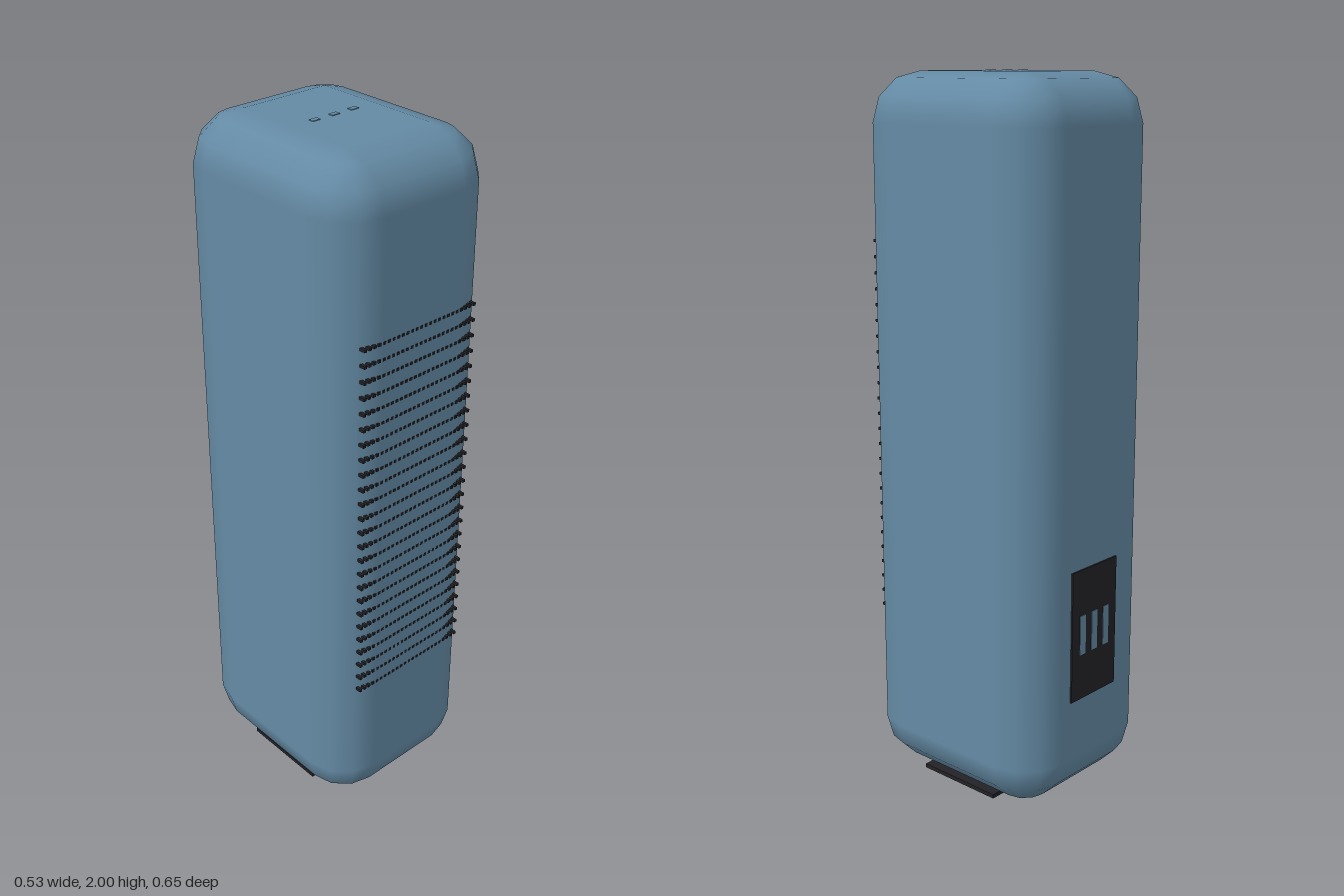
import * as THREE from 'three';
import { mergeGeometries } from 'three/addons/utils/BufferGeometryUtils.js';

const shell = new THREE.MeshStandardMaterial({ color: 0x648aa4 });
shell.name = 'slate blue shell';
const dark = new THREE.MeshStandardMaterial({ color: 0x232327 });
dark.name = 'charcoal plastic';

// Box with every edge rounded in 30 degree steps and smooth normals
function roundedBlock(w, h, d, r) {
  const steps = 3, ring = 4 * (steps + 1);
  const pos = [], nor = [], idx = [];
  const addRing = (lat, cy) => {
    for (let k = 0; k < 4; k++) {
      const sx = k === 0 || k === 3 ? 1 : -1;
      const sz = k < 2 ? 1 : -1;
      for (let j = 0; j <= steps; j++) {
        const a = (k + j / steps) * Math.PI / 2;
        const n = [Math.cos(lat) * Math.cos(a), Math.sin(lat), Math.cos(lat) * Math.sin(a)];
        pos.push(sx * (w / 2 - r) + r * n[0], cy + r * n[1], sz * (d / 2 - r) + r * n[2]);
        nor.push(...n);
      }
    }
  };
  for (let i = 0; i <= steps; i++) addRing((i / steps - 1) * Math.PI / 2, r - h / 2);
  for (let i = 0; i <= steps; i++) addRing((i / steps) * Math.PI / 2, h / 2 - r);
  const rings = 2 * (steps + 1);
  for (let i = 0; i < rings - 1; i++) {
    for (let j = 0; j < ring; j++) {
      const a = i * ring + j, b = i * ring + (j + 1) % ring;
      idx.push(a, a + ring, b, b, a + ring, b + ring);
    }
  }
  // flat bottom and top
  const c = steps + 1, t = (rings - 1) * ring;
  idx.push(0, c, 2 * c, 0, 2 * c, 3 * c);
  idx.push(t, t + 2 * c, t + c, t, t + 3 * c, t + 2 * c);
  const g = new THREE.BufferGeometry();
  g.setAttribute('position', new THREE.Float32BufferAttribute(pos, 3));
  g.setAttribute('normal', new THREE.Float32BufferAttribute(nor, 3));
  g.setIndex(idx);
  return g;
}

export function createModel() {
  const model = new THREE.Group();
  model.name = 'towerSpeaker';

  const add = (name, geometry, material, x, y, z) => {
    const mesh = new THREE.Mesh(geometry, material);
    mesh.name = name;
    mesh.position.set(x, y, z);
    model.add(mesh);
    return mesh;
  };
  const box = (name, w, h, d, material, x, y, z) =>
    add(name, new THREE.BoxGeometry(w, h, d), material, x, y, z);

  // Main casing
  add('casing', roundedBlock(0.532, 1.99, 0.64, 0.133), shell, 0, 1.003, 0.002);

  // Grille of small dots, level at the front so the outer ones stand proud
  const dots = [], columns = 25, rows = 25;
  for (let i = 0; i < rows; i++) {
    for (let j = 0; j < columns; j++) {
      const x = -0.189 + 0.378 * j / (columns - 1);
      const y = 0.465 + 1.077 * i / (rows - 1);
      dots.push(new THREE.BoxGeometry(0.008, 0.008, 0.0235).translate(x, y, 0.3118));
    }
  }
  add('grilleDots', mergeGeometries(dots), dark, 0, 0, 0);

  // Connector plate on the back
  box('backPlate', 0.19, 0.38, 0.006, dark, 0, 0.505, -0.32);

  for (const s of [-1, 0, 1]) {
    box('backSlot', 0.024, 0.115, 0.006, shell, s * 0.05, 0.505, -0.3215);
    box('topButton', 0.024, 0.006, 0.015, shell, s * 0.063, 1.997, 0);
  }

  // Foot strips
  for (const s of [-1, 1]) {
    box('foot', 0.07, 0.012, 0.27, dark, s * 0.175, 0.006, 0);
  }

  return model;
}
